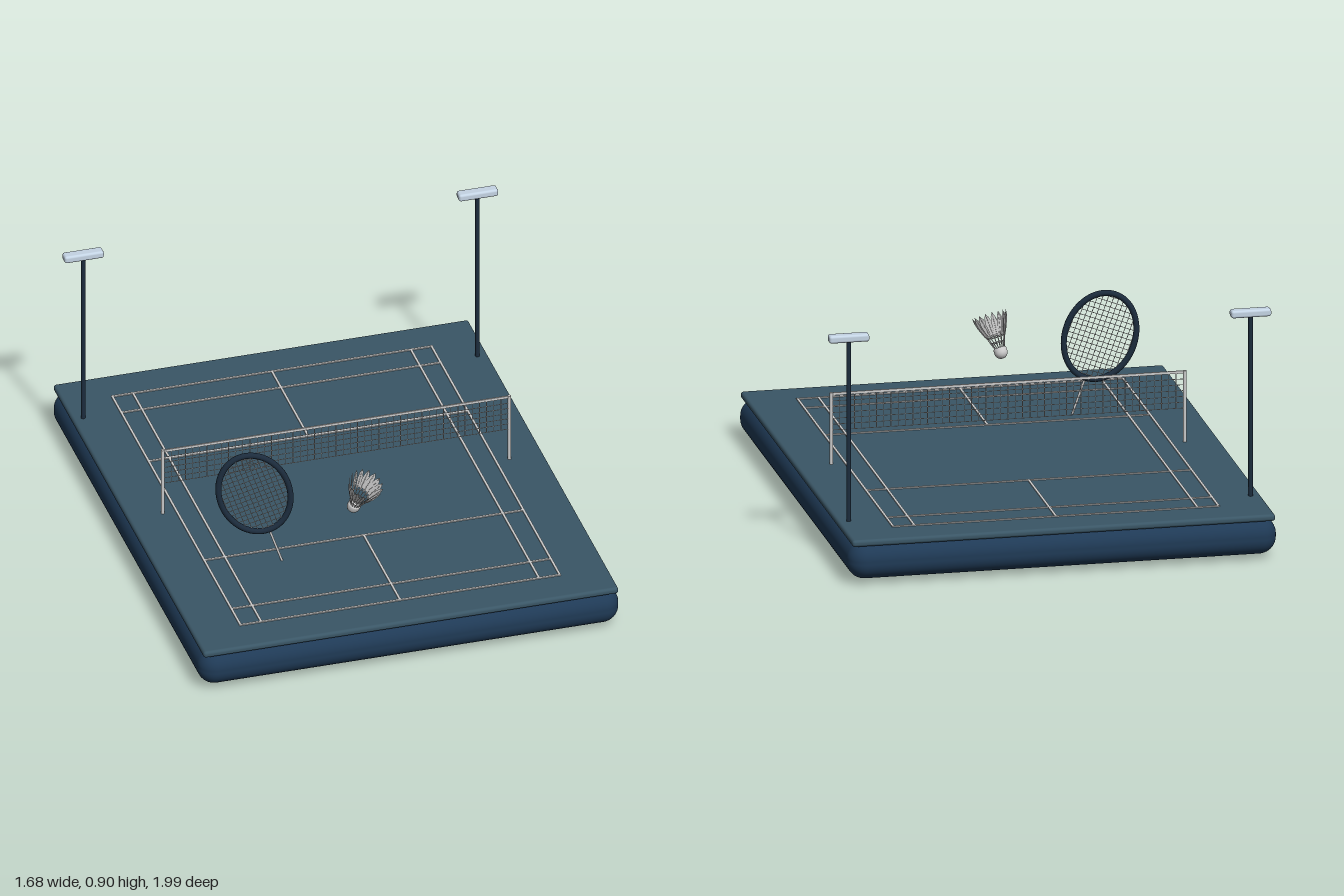
import * as THREE from 'three';
import { mergeGeometries } from 'three/addons/utils/BufferGeometryUtils.js';
import { RoundedBoxGeometry } from 'three/addons/geometries/RoundedBoxGeometry.js';

const mat = (color, side = THREE.FrontSide) => new THREE.MeshStandardMaterial({ color, side });
const grey = mat(0xcccccc);
const greyThin = mat(0xcccccc, THREE.DoubleSide);
const navy = mat(0x1f3a56);
const dark = mat(0x1c2c3d);
const courtGreen = mat(0x3a5666);
const lampBlue = mat(0xc4d4e4);

function add(parent, name, geometry, material, x = 0, y = 0, z = 0) {
  const mesh = new THREE.Mesh(geometry, material);
  mesh.name = name;
  mesh.position.set(x, y, z);
  parent.add(mesh);
  return mesh;
}

function group(parent, name, x = 0, y = 0, z = 0) {
  const g = new THREE.Group();
  g.name = name;
  g.position.set(x, y, z);
  parent.add(g);
  return g;
}

// Round bar between two points
function rod(a, b, r0, r1 = r0, sides = 6) {
  const p = new THREE.Vector3(...a), q = new THREE.Vector3(...b);
  const dir = q.clone().sub(p);
  const geometry = new THREE.CylinderGeometry(r1, r0, dir.length(), sides);
  geometry.applyQuaternion(new THREE.Quaternion().setFromUnitVectors(
    new THREE.Vector3(0, 1, 0), dir.clone().normalize()));
  return geometry.translate(...p.add(q).multiplyScalar(0.5).toArray());
}

function buildCourt(root) {
  const court = group(root, 'court', -0.002, 0, -0.004);
  add(court, 'base', new RoundedBoxGeometry(1.625, 0.142, 1.988, 6, 0.065), navy, 0, 0.09, 0);
  add(court, 'courtSlab', new RoundedBoxGeometry(1.604, 0.026, 1.966, 3, 0.011), courtGreen, 0, 0.166, 0);

  // Painted lines
  const strips = [];
  const strip = (w, d, x, z) => strips.push(new THREE.BoxGeometry(w, 0.005, d).translate(x, 0.1805, z));
  for (const x of [-0.617, -0.537, 0.537, 0.617]) strip(0.009, 1.679, x, 0);
  for (const s of [-1, 1]) {
    for (const z of [0.835, 0.717, 0.362]) strip(1.243, 0.009, 0, s * z);
    strip(0.009, 0.473, 0, s * 0.5985);
  }
  add(court, 'courtLines', mergeGeometries(strips), grey);
}

function buildNet(root) {
  const net = group(root, 'net', -0.002, 0, -0.004);
  for (const s of [-1, 1]) {
    add(net, 'netPost', rod([s * 0.67, 0.175, 0], [s * 0.67, 0.455, 0], 0.0065, 0.0065, 12), grey);
  }
  add(net, 'netTape', new THREE.BoxGeometry(1.34, 0.01, 0.006), grey, 0, 0.45, 0);
  const cords = [];
  for (let i = 0; i <= 48; i++) {
    const x = -0.665 + 1.33 * i / 48;
    cords.push(rod([x, 0.31, 0], [x, 0.448, 0], 0.0014, 0.0014, 5));
  }
  for (let i = 0; i < 7; i++) {
    const y = 0.31 + 0.0225 * i;
    cords.push(rod([-0.668, y, 0], [0.668, y, 0], 0.0014, 0.0014, 5));
  }
  add(net, 'netMesh', mergeGeometries(cords), grey);
}

function buildFloodlights(root) {
  for (const s of [-1, 1]) {
    const light = group(root, 'floodlight', s * 0.762 - 0.002, 0, -0.73);
    add(light, 'lightPole', rod([0, 0.17, 0], [0, 0.878, 0], 0.0085, 0.0085, 16), dark);
    add(light, 'lampHead', new RoundedBoxGeometry(0.152, 0.029, 0.042, 3, 0.009), lampBlue, 0, 0.888, 0);
  }
}

function buildRacket(root) {
  const racket = group(root, 'racket', -0.443, 0.478, 0.42);
  racket.rotation.set(0, -0.17, 0.33);
  const a = 0.13, b = 0.17;

  // Oval frame
  const oval = [];
  for (let i = 0; i < 40; i++) {
    const t = i / 40 * Math.PI * 2;
    oval.push(new THREE.Vector3(a * Math.cos(t), b * Math.sin(t), 0));
  }
  const path = new THREE.CatmullRomCurve3(oval, true);
  add(racket, 'racketFrame', new THREE.TubeGeometry(path, 80, 0.0115, 10, true), dark);

  // Strings clipped to the oval
  const strings = [];
  for (let i = -6; i <= 6; i++) {
    const x = i * 0.0195, h = b * Math.sqrt(1 - (x / a) ** 2);
    strings.push(rod([x, -h, 0], [x, h, 0], 0.0013, 0.0013, 5));
  }
  for (let i = -8; i <= 8; i++) {
    const y = i * 0.0195, w = a * Math.sqrt(1 - (y / b) ** 2);
    strings.push(rod([-w, y, 0], [w, y, 0], 0.0013, 0.0013, 5));
  }
  add(racket, 'racketStrings', mergeGeometries(strings), grey);
  add(racket, 'racketShaft', rod([0, -0.36, 0], [0, -b, 0], 0.0045, 0.0045, 12), grey);
  add(racket, 'racketGrip', rod([0, -0.498, 0], [0, -0.35, 0], 0.016, 0.012, 16), dark);
}

function buildShuttlecock(root) {
  const shuttle = group(root, 'shuttlecock', -0.086, 0.412, 0.508);
  shuttle.quaternion.setFromUnitVectors(new THREE.Vector3(0, 1, 0),
    new THREE.Vector3(0.031, 0.128, 0.06).normalize());

  // Rounded cork
  const profile = [];
  for (let i = 0; i <= 8; i++) {
    const t = i / 8 * Math.PI / 2;
    profile.push(new THREE.Vector2(0.025 * Math.sin(t), -0.025 * Math.cos(t)));
  }
  profile.push(new THREE.Vector2(0.025, 0.012), new THREE.Vector2(0.022, 0.017), new THREE.Vector2(0, 0.017));
  add(shuttle, 'cork', new THREE.LatheGeometry(profile, 24), grey);

  // Flaring ring of pointed feathers
  const count = 16, y0 = 0.015, r0 = 0.018, length = 0.14, lean = 0.35;
  const vane = new THREE.Shape([[0, 0.045], [0.009, 0.06], [0.013, 0.1], [0.009, 0.124],
    [0, length], [-0.009, 0.124], [-0.013, 0.1], [-0.009, 0.06]].map(p => new THREE.Vector2(...p)));
  const place = (geometry, i) => geometry.rotateX(lean).translate(0, y0, r0).rotateY(i / count * Math.PI * 2);
  const vanes = [], quills = [];
  for (let i = 0; i < count; i++) {
    vanes.push(place(new THREE.ShapeGeometry(vane).rotateY(0.3), i));
    quills.push(place(rod([0, -0.005, 0], [0, length, 0], 0.0018, 0.0009, 6), i));
  }
  add(shuttle, 'featherVanes', mergeGeometries(vanes), greyThin);
  add(shuttle, 'featherQuills', mergeGeometries(quills), grey);

  // Binding threads
  for (const d of [0.025, 0.048]) {
    const ring = new THREE.TorusGeometry(r0 + d * Math.sin(lean), 0.0018, 6, 32).rotateX(Math.PI / 2);
    add(shuttle, 'bindingThread', ring, grey, 0, y0 + d * Math.cos(lean), 0);
  }
}

export function createModel() {
  const root = new THREE.Group();
  root.name = 'badmintonCourt';
  buildCourt(root);
  buildNet(root);
  buildFloodlights(root);
  buildRacket(root);
  buildShuttlecock(root);
  return root;
}
